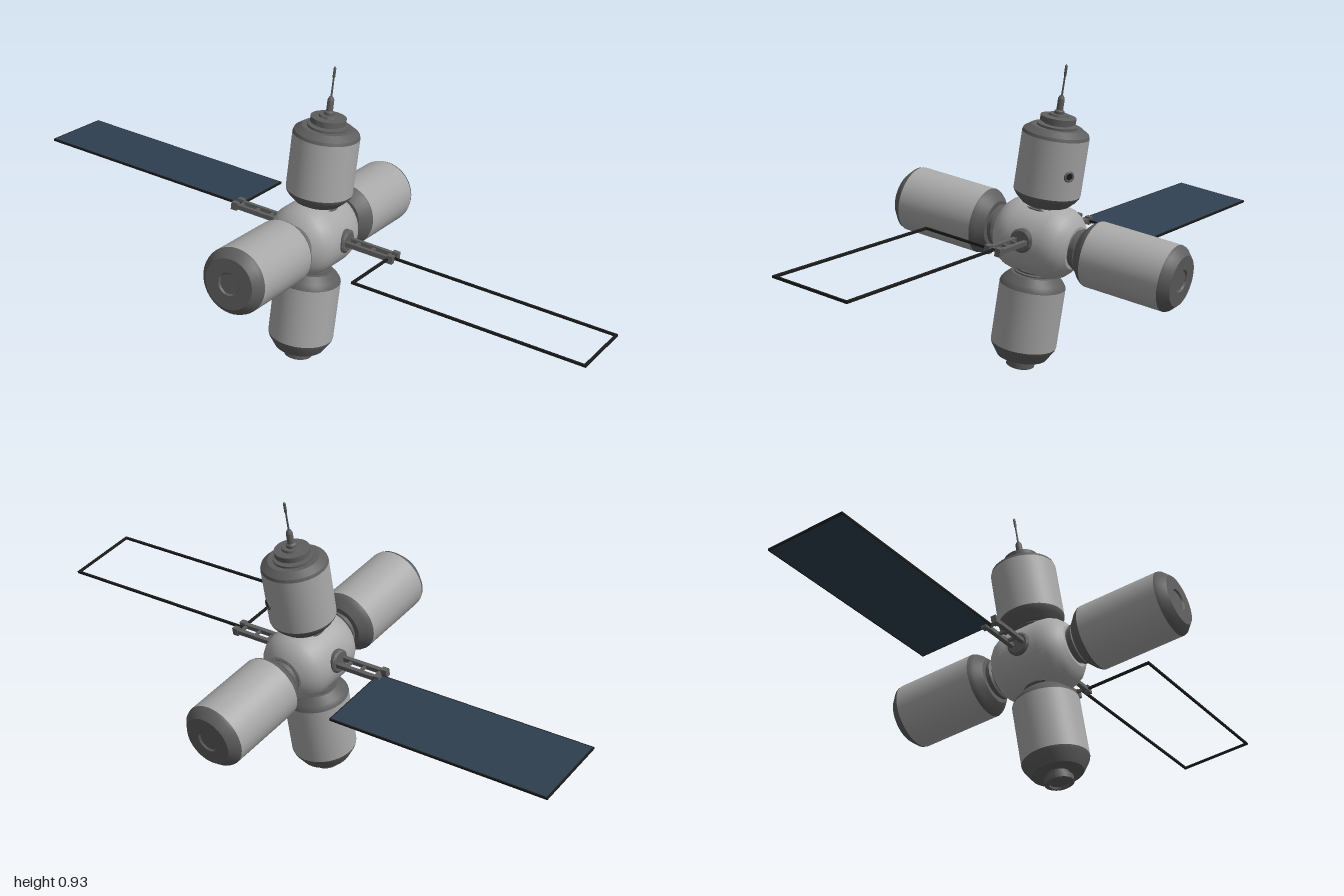
import * as THREE from 'three';
import { toCreasedNormals } from 'three/addons/utils/BufferGeometryUtils.js';

const paint = (name, color) => {
  const m = new THREE.MeshStandardMaterial({ color });
  m.name = name;
  return m;
};
const hull = paint('hull grey', 0xa8a8a8);
const dark = paint('dark grey', 0x5e5e5e);
const black = paint('frame black', 0x1c1c1c);
const solar = paint('solar blue', 0x2e3f50);

// Turned part: [radius, height] pairs running from bottom to top
function turned(parent, name, mat, pts, sides = 40) {
  const lathe = new THREE.LatheGeometry(pts.map(([r, y]) => new THREE.Vector2(r, y)), sides);
  const mesh = new THREE.Mesh(toCreasedNormals(lathe, 0.5), mat);
  mesh.name = name;
  parent.add(mesh);
  return mesh;
}

function box(parent, name, mat, size, pos) {
  const mesh = new THREE.Mesh(new THREE.BoxGeometry(...size), mat);
  mesh.name = name;
  mesh.position.set(...pos);
  parent.add(mesh);
  return mesh;
}

// Pressurised module along +y: a = start of straight wall, b = its end
function module(parent, name, angle, a, b, cap) {
  const g = new THREE.Group();
  g.name = name;
  g.rotation.z = angle;
  parent.add(g);
  turned(g, name + 'Wall', hull, [[0.1, a], [0.1, b]]);
  turned(g, name + 'InnerBand', dark,
    [[0.05, a - 0.036], [0.07, a - 0.036], [0.09, a - 0.017], [0.098, a - 0.006], [0.1, a]]);
  turned(g, name + 'OuterBand', dark,
    [[0.1, b], [0.097, b + 0.009], [0.076, b + cap], [0.034, b + cap], [0.03, b + cap - 0.005], [0, b + cap - 0.005]]);
  // Ribbed neck towards the hub
  const n0 = 0.085, n1 = a - 0.034, neck = [[0.058, n0]];
  const ribs = 3, step = (n1 - n0) / ribs;
  for (let i = 0; i < ribs; i++) {
    const y = n0 + i * step;
    neck.push([0.062, y + step * 0.2], [0.062, y + step * 0.6], [0.054, y + step * 0.75], [0.054, y + step]);
  }
  turned(g, name + 'Neck', dark, neck);
  return g;
}

// Rectangular wing frame with an optional filled panel
function wing(parent, name, sx, sz, filled) {
  const g = new THREE.Group();
  g.name = name;
  g.position.set(sx * 0.12, 0.01, sz * 0.616);
  parent.add(g);
  const w = 0.238, l = 0.715, t = 0.007;
  for (const s of [-1, 1]) {
    box(g, 'frameSide', black, [t, t, l], [s * (w - t) / 2, 0, 0]);
    box(g, 'frameEnd', black, [w, t, t], [0, 0, s * (l - t) / 2]);
  }
  if (filled) box(g, 'solarPanel', solar, [w - t, 0.008, l - t], [0, 0, 0]);
}

export function createModel() {
  const model = new THREE.Group();
  model.name = 'spaceStation';
  const station = new THREE.Group();
  station.name = 'station';
  model.add(station);

  // Tilted axes of the whole station
  const up = new THREE.Vector3(0.184, 0.98, -0.03).normalize();
  const front = new THREE.Vector3(0.94, -0.175, -0.3).cross(up).normalize();
  const side = up.clone().cross(front);
  station.quaternion.setFromRotationMatrix(new THREE.Matrix4().makeBasis(side, up, front));
  station.position.set(0, 0.415, 0);

  // Hub
  const hub = turned(station, 'hub', hull, [
    [0, -0.125], [0.065, -0.125], [0.082, -0.115], [0.098, -0.098], [0.108, -0.078], [0.112, -0.055],
    [0.112, 0.055], [0.108, 0.078], [0.098, 0.098], [0.082, 0.115], [0.065, 0.125], [0, 0.125]]);
  hub.rotation.z = -Math.PI / 2;

  // Four modules
  const top = module(station, 'topModule', 0, 0.143, 0.318, 0.024);
  const bottom = module(station, 'bottomModule', Math.PI, 0.148, 0.336, 0.042);
  module(station, 'leftModule', -Math.PI / 2, 0.189, 0.443, 0.03);
  module(station, 'rightModule', Math.PI / 2, 0.189, 0.443, 0.03);

  // Docking port below
  turned(bottom, 'dockingPort', dark, [
    [0.034, 0.37], [0.034, 0.388], [0.043, 0.391], [0.043, 0.408], [0.038, 0.411], [0.03, 0.411], [0.028, 0.405], [0, 0.405]]);

  // Top plate and antenna
  turned(top, 'topPlate', dark, [
    [0.06, 0.335], [0.06, 0.348], [0.042, 0.35], [0.042, 0.354], [0.053, 0.356], [0.053, 0.372], [0.03, 0.374], [0.028, 0.38], [0, 0.38]]);
  turned(top, 'antennaBase', dark, [
    [0.015, 0.378], [0.015, 0.388], [0.01, 0.392], [0.01, 0.425], [0.006, 0.434], [0, 0.434]], 16);
  turned(top, 'antennaRod', dark, [
    [0.003, 0.43], [0.0025, 0.49], [0.004, 0.495], [0.004, 0.522], [0, 0.528]], 10);

  // Porthole on the side of the top module
  const porthole = new THREE.Group();
  porthole.name = 'porthole';
  const a = 0.49;
  porthole.position.set(Math.cos(a) * 0.1, 0.217, Math.sin(a) * 0.1);
  porthole.rotation.y = Math.PI / 2 - a;
  top.add(porthole);
  const rim = new THREE.Mesh(new THREE.TorusGeometry(0.013, 0.004, 8, 24), dark);
  rim.name = 'portholeRim';
  const pane = new THREE.Mesh(new THREE.CircleGeometry(0.012, 24), black);
  pane.name = 'portholePane';
  pane.position.z = 0.002;
  porthole.add(rim, pane);

  // Booms that carry the wings
  for (const s of [1, -1]) {
    const boom = new THREE.Group();
    boom.name = s > 0 ? 'frontBoom' : 'backBoom';
    boom.position.y = 0.01;
    station.add(boom);
    const socket = turned(boom, 'boomSocket', dark, [[0.036, 0.09], [0.036, 0.115], [0.03, 0.12], [0, 0.12]], 24);
    socket.rotation.x = s * Math.PI / 2;
    for (const x of [-0.018, 0.018]) {
      box(boom, 'boomRod', dark, [0.013, 0.014, 0.18], [x, 0, s * 0.185]);
      box(boom, 'boomFoot', dark, [0.017, 0.024, 0.02], [x, 0, s * 0.268]);
    }
    for (const z of [0.15, 0.2, 0.255]) box(boom, 'boomTie', dark, [0.036, 0.008, 0.009], [0, 0, s * z]);
  }

  // Open frame in front, filled solar panel behind
  wing(station, 'frontWingFrame', -1, 1, false);
  wing(station, 'backSolarWing', 1, -1, true);
  return model;
}
